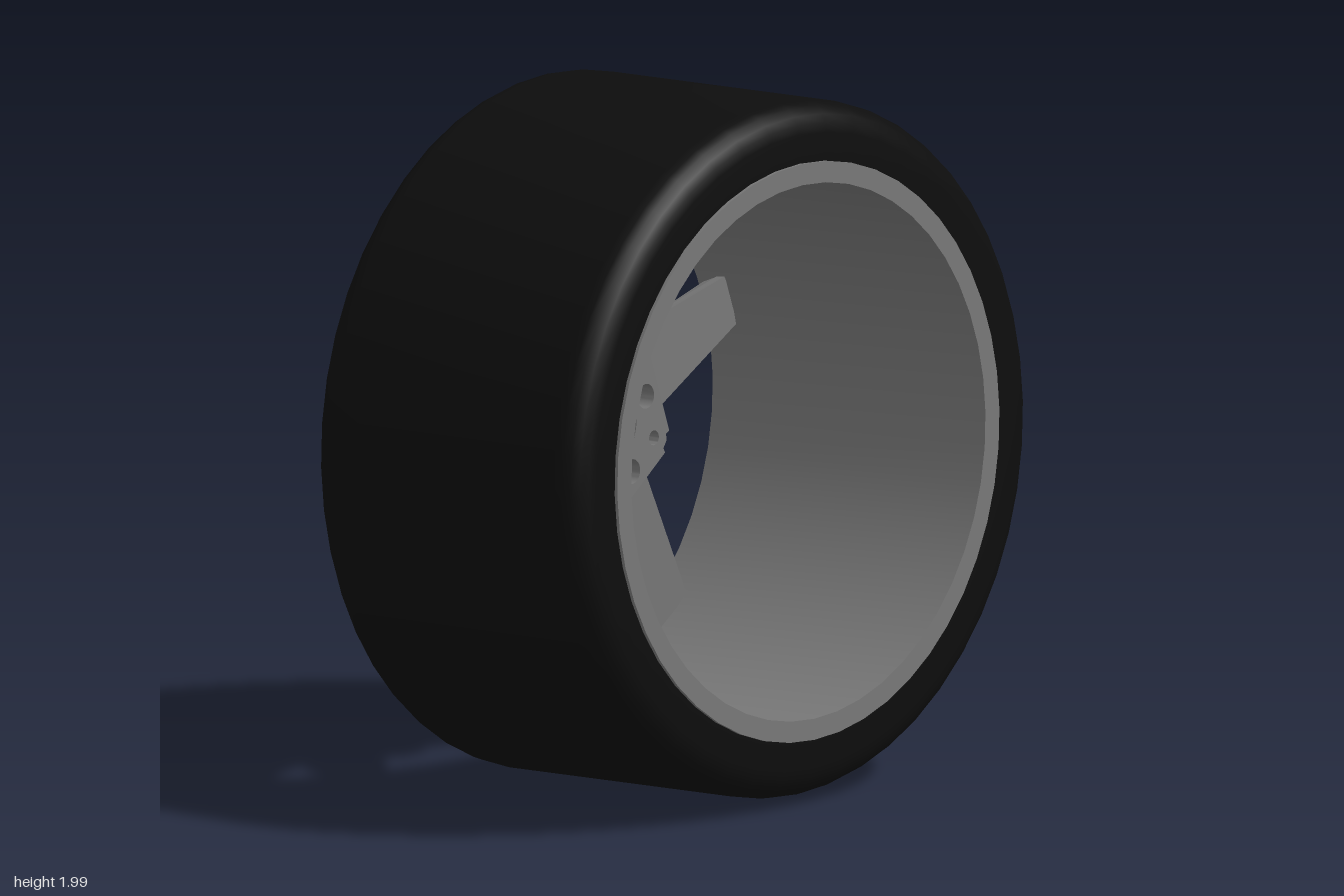
import * as THREE from 'three';
import { toCreasedNormals } from 'three/addons/utils/BufferGeometryUtils.js';

const metal = new THREE.MeshStandardMaterial({ color: 0x777777, side: THREE.DoubleSide });
const rubber = new THREE.MeshStandardMaterial({ color: 0x0d0d0d });

function part(name, geometry, material, parent) {
  const mesh = new THREE.Mesh(geometry, material);
  mesh.name = name;
  parent.add(mesh);
  return mesh;
}

// Closed profile of [radius, z] points, turned around the z axis
function turned(points, segments) {
  const profile = points.map(([r, z]) => new THREE.Vector2(r, z));
  profile.push(profile[0].clone());
  return toCreasedNormals(new THREE.LatheGeometry(profile, segments).rotateX(Math.PI / 2), 0.6);
}

// Tyre section with rounded shoulders
function tyreGeometry() {
  const R = 0.986, half = 0.495, c = 0.085, pts = [[0.8, -half]];
  for (const side of [-1, 1]) {
    for (let i = 0; i <= 5; i++) {
      const a = (side < 0 ? -Math.PI / 2 : 0) + (i / 5) * Math.PI / 2;
      pts.push([R - c + c * Math.cos(a), side * (half - c) + c * Math.sin(a)]);
    }
  }
  pts.push([0.8, half]);
  return turned(pts, 48);
}

// Twin-ridged spoke along +y, lofted through cross-sections
function spokeGeometry() {
  // radius, half width, front z, back z, groove depth
  const stations = [
    [0.225, 0.142, -0.25, -0.318, 0.02],
    [0.245, 0.139, -0.25, -0.335, 0.04],
    [0.335, 0.127, -0.36, -0.455, 0.055],
    [0.785, 0.071, -0.4, -0.49, 0.05],
  ];
  const pos = [], index = [];
  for (const [r, w, zf, zb, g] of stations) {
    const zm = zf + (zb - zf) * 0.35;
    const right = [[1, zf], [0.94, zm], [0.62, zb], [0.34, zb], [0.14, zb + g]];
    const left = right.map(([u, z]) => [-u, z]).reverse();
    for (const [u, z] of [...right, ...left]) pos.push(u * w, r, z);
  }
  const n = 10;
  for (let j = 0; j < stations.length - 1; j++) {
    for (let i = 0; i < n; i++) {
      const a = j * n + i, b = j * n + (i + 1) % n;
      index.push(a, b, b + n, a, b + n, a + n);
    }
  }
  const geo = new THREE.BufferGeometry();
  geo.setAttribute('position', new THREE.Float32BufferAttribute(pos, 3));
  geo.setIndex(index);
  return toCreasedNormals(geo, 0.2);
}

// Five-sided hub plate with clipped corners, bore and bolt holes
function hubGeometry() {
  const shape = new THREE.Shape();
  for (let k = 0; k < 5; k++) {
    const a = -Math.PI / 2 + k * Math.PI * 2 / 5;
    for (const s of [-0.13, 0, 0.13]) {
      const r = s === 0 ? 0.27 : 0.262;
      const x = r * Math.cos(a + s), y = r * Math.sin(a + s);
      if (k === 0 && s < 0) shape.moveTo(x, y); else shape.lineTo(x, y);
    }
  }
  const hole = (x, y, r) => shape.holes.push(new THREE.Path().absarc(x, y, r, 0, Math.PI * 2, true));
  hole(0, 0, 0.132);
  for (let k = 0; k < 5; k++) {
    const a = Math.PI / 2 + k * Math.PI * 2 / 5, b = a + Math.PI;
    hole(0.183 * Math.cos(a), 0.183 * Math.sin(a), 0.035);
    hole(0.215 * Math.cos(b), 0.215 * Math.sin(b), 0.021);
  }
  const geo = new THREE.ExtrudeGeometry(shape, { depth: 0.09, bevelEnabled: false, curveSegments: 16 });
  return toCreasedNormals(geo.translate(0, 0, -0.335), 0.6);
}

// Curved block fixed against the inside of the barrel
function blockGeometry() {
  const from = 0.67, to = 1.16;
  const shape = new THREE.Shape();
  shape.absarc(0, 0, 0.765, from, to, false);
  shape.lineTo(0.708 * Math.cos(to), 0.708 * Math.sin(to));
  shape.absarc(0, 0, 0.715, to - 0.04, from + 0.04, true);
  shape.closePath();
  const geo = new THREE.ExtrudeGeometry(shape, { depth: 0.14, bevelEnabled: false, curveSegments: 8 });
  return geo.translate(0, 0, -0.43);
}

export function createModel() {
  const root = new THREE.Group();
  root.name = 'wheel';

  // The axle leans up slightly toward the front
  const wheel = new THREE.Group();
  wheel.name = 'tiltedWheel';
  wheel.rotation.x = -0.028;
  wheel.position.y = 1;
  root.add(wheel);

  part('tyre', tyreGeometry(), rubber, wheel);
  part('rimBarrel', turned([[0.76, -0.505], [0.82, -0.505], [0.82, 0.505], [0.76, 0.505]], 48), metal, wheel);
  part('hub', hubGeometry(), metal, wheel);

  const spoke = spokeGeometry();
  for (let k = 0; k < 5; k++) {
    part('spoke', spoke, metal, wheel).rotation.z = k * Math.PI * 2 / 5;
  }

  part('barrelBlock', blockGeometry(), metal, wheel);

  // Small round seat at the bottom of the barrel
  const seat = part('valveSeat', new THREE.CylinderGeometry(0.05, 0.05, 0.012, 16), metal, wheel);
  seat.position.set(0.07, -0.755, -0.27);
  seat.rotation.z = 0.09;
  return root;
}
